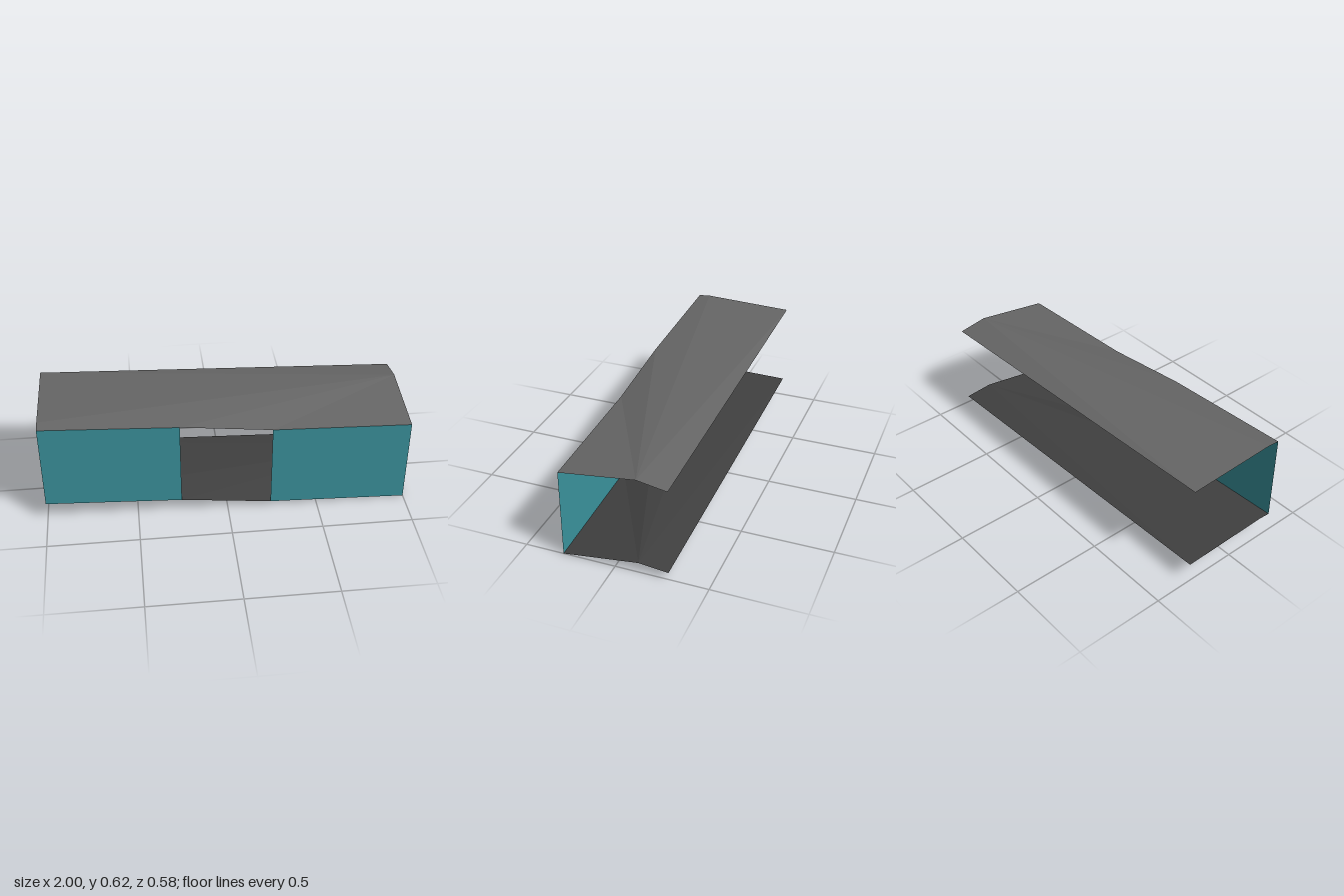
import * as THREE from 'three';

const material = (name, color) =>
  new THREE.MeshStandardMaterial({ name, color, side: THREE.DoubleSide });

// Non-indexed triangle fan, so every facet keeps a flat normal
function fan(name, hub, rim, mat) {
  const points = [];
  for (let i = 0; i < rim.length - 1; i++) points.push(hub, rim[i + 1], rim[i]);
  const geometry = new THREE.BufferGeometry().setFromPoints(
    points.map((p) => new THREE.Vector3(...p)));
  geometry.computeVertexNormals();
  const mesh = new THREE.Mesh(geometry, mat);
  mesh.name = name;
  return mesh;
}

export function createModel() {
  const group = new THREE.Group();
  group.name = 'shelter';
  const roofGrey = material('roof grey', 0x666666);
  const floorGrey = material('floor grey', 0x404040);
  const teal = material('wall teal', 0x3a929c);

  const Z = 0.288;
  // Plan position of the fold hub and the rim, from front right corner round to back right
  const hub = [1, -0.127];
  const rim = [[1, Z], [0.24, Z], [-0.257, Z], [-1, Z], [-1, 0.222], [-1, -Z], [1, -Z]];

  // Folded sheets: one height for each rim point
  const roofY = [0.496, 0.52, 0.575, 0.612, 0.618, 0.601, 0.523];
  const floorY = [0.001, 0.027, 0.082, 0.119, 0.125, 0.116, 0.042];
  const lift = (heights) => rim.map(([x, z], i) => [x, heights[i], z]);
  const roof = lift(roofY);
  const floor = lift(floorY);
  group.add(fan('roof', [hub[0], 0.551, hub[1]], roof, roofGrey));
  group.add(fan('floor', [hub[0], 0.058, hub[1]], floor, floorGrey));

  // Front wall panels on both sides of the opening
  for (const [name, i] of [['leftWall', 0], ['rightWall', 2]]) {
    group.add(fan(name, floor[i + 1], [roof[i + 1], roof[i], floor[i]], teal));
  }
  return group;
}
